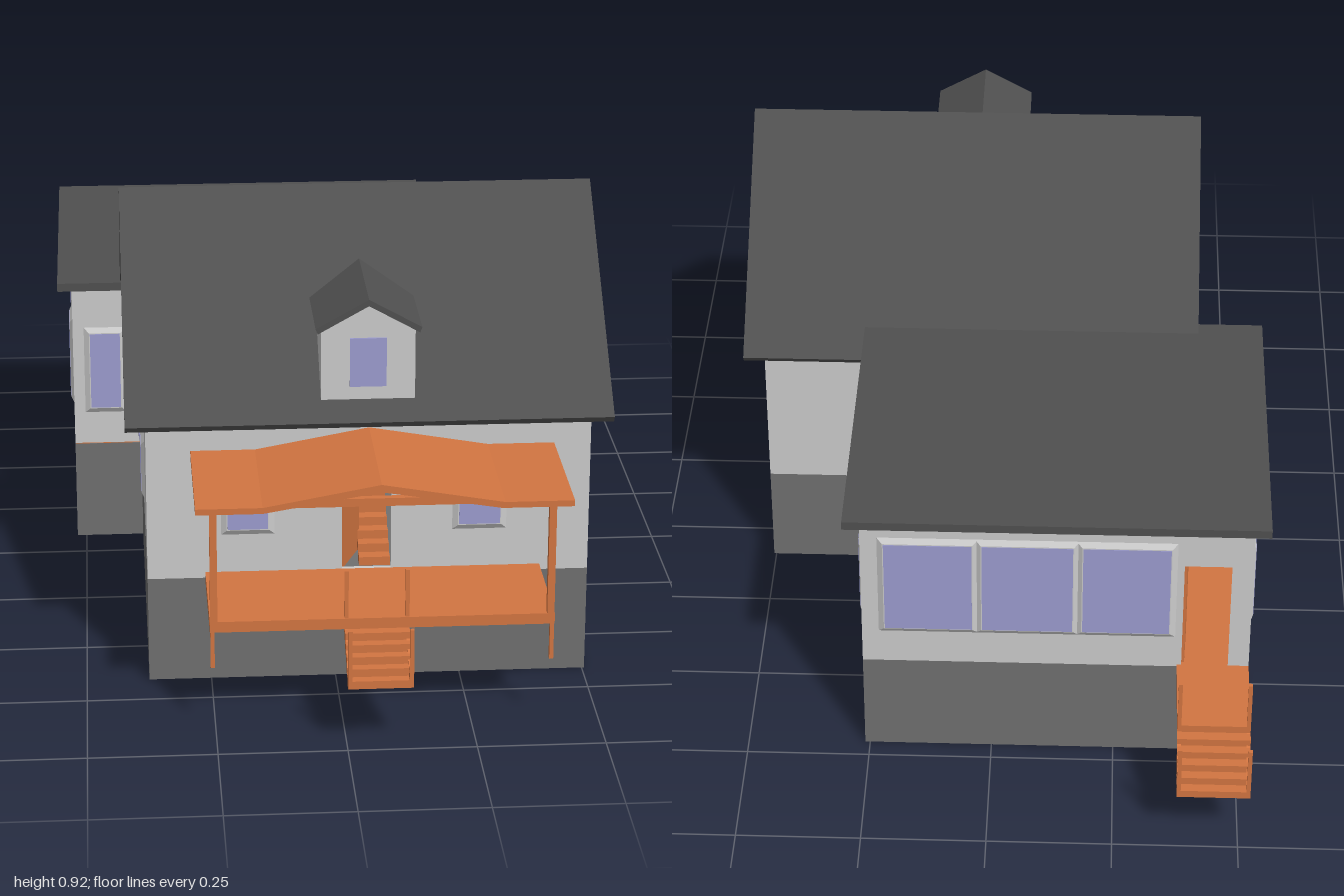
import * as THREE from 'three';

const mat = (color, side = THREE.FrontSide) => new THREE.MeshStandardMaterial({ color, side });
const WALL = mat(0xcccccc), STONE = mat(0x707070), ROOF = mat(0x505050);
const WOOD = mat(0xd27541), GLASS = mat(0x9c9ccf);

function add(parent, name, geometry, material) {
  const m = new THREE.Mesh(geometry, material);
  m.name = name;
  parent.add(m);
  return m;
}

// Box given by its extents on each axis
function block(parent, name, material, x0, x1, y0, y1, z0, z1) {
  const m = add(parent, name, new THREE.BoxGeometry(x1 - x0, y1 - y0, z1 - z0), material);
  m.position.set((x0 + x1) / 2, (y0 + y1) / 2, (z0 + z1) / 2);
  return m;
}

function polygon(points) {
  return new THREE.Shape(points.map(([x, y]) => new THREE.Vector2(x, y)));
}

const extrude = (shape, depth) => new THREE.ExtrudeGeometry(shape, { depth, bevelEnabled: false });

// Window: sloped surround and a pane through the wall; extents along the wall and in height
function addWindow(parent, a, b, y0, y1) {
  const w = b - a, h = y1 - y0, rim = 0.013, out = 0.007;
  const surround = new THREE.BoxGeometry(w + 2 * rim, h + 2 * rim, out);
  const p = surround.attributes.position;
  for (let i = 0; i < p.count; i++) {
    if (p.getZ(i) > 0) p.setXY(i, Math.sign(p.getX(i)) * (w / 2 + 0.002), Math.sign(p.getY(i)) * (h / 2 + 0.002));
  }
  surround.computeVertexNormals();
  const g = new THREE.Group();
  g.name = 'window';
  g.position.set((a + b) / 2, (y0 + y1) / 2, 0);
  add(g, 'windowSurround', surround, WALL).position.z = out / 2;
  add(g, 'windowPane', new THREE.BoxGeometry(w, h, 0.024), GLASS).position.z = -0.004;
  parent.add(g);
}

// Wall panel turned to face +z, +x, -z or -x; coordinates along it are the model's own
function wall(parent, name, facing, offset, outline, windows = [], door) {
  const turn = { '+z': 0, '+x': Math.PI / 2, '-z': Math.PI, '-x': -Math.PI / 2 }[facing];
  const s = facing === '+z' || facing === '-x' ? 1 : -1;
  const g = new THREE.Group();
  g.name = name;
  g.rotation.y = turn;
  if (facing[1] === 'z') g.position.z = offset; else g.position.x = offset;
  const shape = polygon(outline.map(([u, y]) => [u * s, y]));
  if (door) {
    const [a, b, y0, y1] = door;
    shape.holes.push(new THREE.Path([[a, y0], [b, y0], [b, y1], [a, y1]].map(([u, y]) => new THREE.Vector2(u * s, y))));
  }
  add(g, name + 'Panel', extrude(shape, 0.01), WALL).position.z = -0.01;
  for (const [a, b, y0, y1] of windows) addWindow(g, Math.min(a * s, b * s), Math.max(a * s, b * s), y0, y1);
  parent.add(g);
}

const rect = (a, b, y0, y1) => [[a, y0], [b, y0], [b, y1], [a, y1]];

// Steps going down outward from a deck edge, with stringers and railing posts
function outsideSteps(parent, x0, x1, zEdge, dir) {
  const g = new THREE.Group();
  g.name = 'outsideSteps';
  const n = 5, run = 0.1 / n, top = 0.215, drop = 0.016;
  for (let i = 0; i < n; i++) {
    block(g, 'tread', WOOD, x0, x1, top - (i + 1) * drop - 0.006, top - i * drop - 0.006, i * run, (i + 1) * run + 0.002);
  }
  const side = polygon([[0, 0.21], [0.1, 0.145], [0.1, 0.135], [0.085, 0.135], [0, 0.195]]);
  for (const x of [x0, x1 - 0.008]) {
    const stringer = add(g, 'stringer', extrude(side, 0.008), WOOD);
    stringer.rotation.y = -Math.PI / 2;
    stringer.position.x = x + 0.008;
    block(g, 'upperPost', WOOD, x, x + 0.008, 0.2, 0.33, -0.008, 0);
    block(g, 'lowerPost', WOOD, x, x + 0.008, 0.135, 0.25, 0.096, 0.104);
  }
  // Turn about the vertical axis for the back, keeping the steps under x0..x1
  if (dir < 0) { g.rotation.y = Math.PI; g.position.x = x0 + x1; }
  g.position.z = zEdge;
  parent.add(g);
}

function doorLeaf(parent, name, x, z, width, y0, y1, angle) {
  const hinge = new THREE.Group();
  hinge.name = name;
  hinge.position.set(x, (y0 + y1) / 2, z);
  hinge.rotation.y = angle;
  add(hinge, name + 'Board', new THREE.BoxGeometry(width, y1 - y0, 0.006), WOOD).position.x = width / 2;
  parent.add(hinge);
}

export function createModel() {
  const house = new THREE.Group();
  house.name = 'house';

  // Foundation: main cellar, smaller rear cellar, and a skirt open below
  block(house, 'mainFoundation', STONE, -0.375, 0.505, 0, 0.22, -0.09, 0.66);
  block(house, 'rearFoundation', STONE, -0.52, 0, 0, 0.218, -0.45, -0.09);
  const skirt = (w, x, z, turn) => {
    const m = add(house, 'foundationSkirt', new THREE.PlaneGeometry(w, 0.22), STONE);
    m.position.set(x, 0.11, z);
    m.rotation.y = turn;
  };
  skirt(0.62, 0.26, -0.4, Math.PI / 2);
  skirt(0.78, -0.13, -0.71, Math.PI);
  skirt(0.26, -0.52, -0.58, -Math.PI / 2);
  block(house, 'rearFloor', WOOD, -0.519, 0.259, 0.205, 0.22, -0.709, -0.091);

  // Main house walls
  const frontDoor = [0.012, 0.11, 0.232, 0.45];
  wall(house, 'frontWall', '+z', 0.66, rect(-0.375, 0.505, 0.22, 0.57),
    [[-0.215, -0.135, 0.325, 0.43], [0.245, 0.327, 0.325, 0.43]], frontDoor);
  wall(house, 'backWall', '-z', -0.09, rect(-0.375, 0.505, 0.22, 0.57));
  const gable = [[-0.09, 0.22], [0.66, 0.22], [0.66, 0.572], [0.285, 0.905], [-0.09, 0.572]];
  const gableWindows = [];
  for (const z of [0.43, 0.145]) {
    gableWindows.push([z - 0.035, z + 0.035, 0.33, 0.43], [z - 0.035, z + 0.035, 0.56, 0.67]);
  }
  wall(house, 'leftGable', '+x', 0.505, gable, gableWindows);
  wall(house, 'rightGable', '-x', -0.375, gable, gableWindows);

  // Main roof
  const roofLine = polygon([[0.70, 0.558], [0.285, 0.92], [-0.135, 0.558], [-0.127, 0.546], [0.285, 0.902], [0.692, 0.546]]);
  const roof = add(house, 'mainRoof', extrude(roofLine, 0.96), ROOF);
  roof.rotation.y = -Math.PI / 2;
  roof.position.x = 0.545;

  // Rear wing
  const backDoor = [-0.478, -0.384, 0.225, 0.477];
  wall(house, 'wingBackWall', '-z', -0.71, rect(-0.52, 0.26, 0.22, 0.59),
    [[0.038, 0.213, 0.31, 0.52], [-0.163, 0.018, 0.31, 0.52], [-0.357, -0.183, 0.31, 0.52]], backDoor);
  wall(house, 'wingLeftWall', '+x', 0.26, rect(-0.71, -0.09, 0.22, 0.59), [[-0.643, -0.557, 0.305, 0.475]]);
  wall(house, 'wingRightWall', '-x', -0.52, rect(-0.71, -0.09, 0.22, 0.59),
    [[-0.643, -0.557, 0.305, 0.475], [-0.248, -0.162, 0.305, 0.475]]);
  wall(house, 'wingFrontWall', '+z', -0.09, rect(-0.52, -0.375, 0.22, 0.59), [[-0.483, -0.418, 0.305, 0.475]]);
  block(house, 'wingRoof', ROOF, -0.55, 0.29, 0.587, 0.605, -0.757, -0.045);

  // Dormer: body and gabled cap running back into the main roof
  const cx = 0.0625;
  const dormer = new THREE.Group();
  dormer.name = 'dormer';
  const body = polygon([[-0.0925, 0.592], [0.0925, 0.592], [0.0925, 0.738], [0, 0.792], [-0.0925, 0.738]]);
  add(dormer, 'dormerBody', extrude(body, 0.26), WALL).position.z = 0.4;
  const cap = polygon([[-0.104, 0.745], [0, 0.803], [0.104, 0.745], [0.1, 0.734], [0, 0.79], [-0.1, 0.734]]);
  add(dormer, 'dormerRoof', extrude(cap, 0.27), ROOF).position.z = 0.405;
  const front = new THREE.Group();
  front.position.z = 0.66;
  front.name = 'dormerWindow';
  add(front, 'dormerPane', new THREE.BoxGeometry(0.072, 0.1, 0.008), GLASS).position.y = 0.67;
  dormer.add(front);
  dormer.position.x = cx;
  house.add(dormer);

  // Front doors, and the stair seen through the front doorway
  doorLeaf(house, 'frontDoor', 0.014, 0.65, 0.1, 0.232, 0.45, 1.19);
  doorLeaf(house, 'backDoor', -0.387, -0.702, 0.09, 0.225, 0.477, -1.62);
  for (let i = 0; i < 14; i++) {
    block(house, 'insideStep', WOOD, 0.05, 0.112, 0.22 + i * 0.018, 0.238 + i * 0.018, 0.59 - i * 0.026, 0.62 - i * 0.026);
  }

  // Front porch
  const porch = new THREE.Group();
  porch.name = 'frontPorch';
  block(porch, 'porchDeck', WOOD, -0.26, 0.408, 0.21, 0.232, 0.66, 0.9);
  for (const s of [-1, 1]) {
    const x = 0.074 + s * 0.326;
    block(porch, 'porchPost', WOOD, x - 0.007, x + 0.007, 0.21, 0.48, 0.886, 0.9);
    block(porch, 'porchFoot', WOOD, x + s * 0.003 - 0.004, x + s * 0.003 + 0.004, 0.135, 0.21, 0.89, 0.9);
  }
  block(porch, 'porchBeam', WOOD, -0.259, 0.407, 0.465, 0.481, 0.886, 0.9);
  const canopy = polygon([[-0.287, 0.48], [-0.16, 0.48], [0.065, 0.518], [0.295, 0.48], [0.432, 0.48],
    [0.432, 0.492], [0.3, 0.492], [0.065, 0.533], [-0.16, 0.492], [-0.287, 0.492]]);
  add(porch, 'porchRoof', extrude(canopy, 0.3), WOOD).position.z = 0.66;
  outsideSteps(porch, 0, 0.126, 0.897, 1);
  house.add(porch);

  // Back landing
  block(house, 'backLanding', WOOD, -0.52, -0.375, 0.203, 0.225, -0.897, -0.71);
  outsideSteps(house, -0.52, -0.375, -0.897, -1);

  return house;
}
